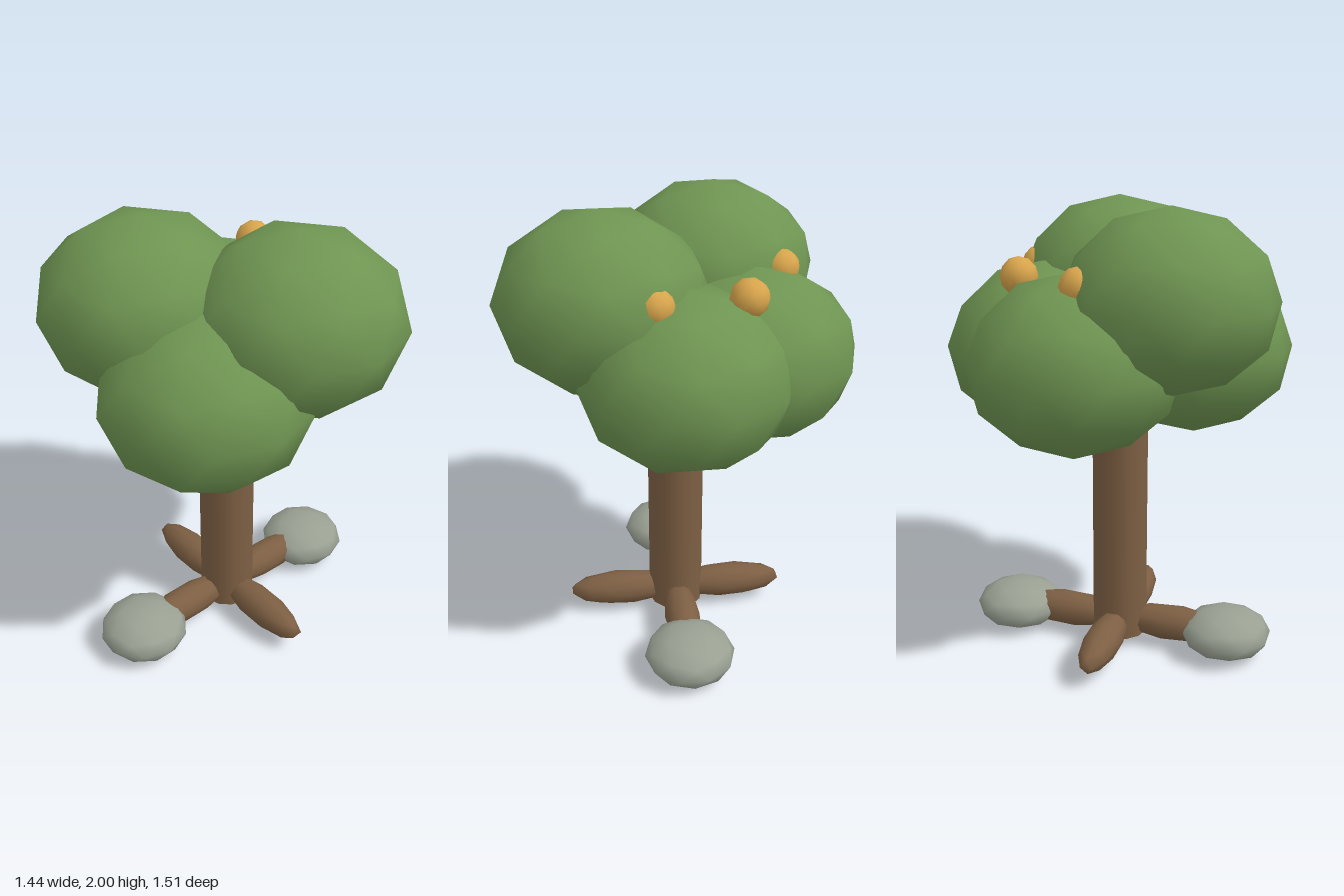
import * as THREE from 'three';

const paint = (name, color) => {
  const m = new THREE.MeshStandardMaterial({ color });
  m.name = name;
  return m;
};

export function createModel() {
  const tree = new THREE.Group();
  tree.name = 'fruitTree';
  const leaf = paint('leaf green', 0x6f9552);
  const bark = paint('bark brown', 0x7d5f43);
  const stone = paint('stone grey', 0x9aa193);
  const gold = paint('fruit gold', 0xd8a54c);
  const trunkX = -0.027;

  // Smooth low-poly ball with a corner pointing straight up
  const ball = new THREE.IcosahedronGeometry(1, 1);
  ball.rotateX(-Math.atan((1 + Math.sqrt(5)) / 2));
  ball.rotateY(Math.PI / 2);

  // Places a stretched ball on a ring around the trunk
  const blob = (name, material, angle, distance, y, size, turn = 0) => {
    const mesh = new THREE.Mesh(ball, material);
    mesh.name = name;
    mesh.position.set(trunkX + distance * Math.cos(angle), y, distance * Math.sin(angle));
    mesh.scale.set(...size);
    mesh.rotation.y = turn;
    tree.add(mesh);
  };

  // Trunk
  const trunk = new THREE.Mesh(new THREE.CylinderGeometry(0.125, 0.125, 1.35, 12), bark);
  trunk.name = 'trunk';
  trunk.position.set(trunkX, 0.05 + 1.35 / 2, 0);
  tree.add(trunk);

  // Canopy: five clumps at two heights
  [1.37, 1.625, 1.37, 1.625, 1.37].forEach((y, i) => {
    blob('leafClump', leaf, (i * Math.PI * 2) / 5, 0.325, y, [0.445, 0.375, 0.445]);
  });

  // Four roots in a cross
  for (let i = 0; i < 4; i++) {
    const angle = (i * Math.PI) / 2;
    blob('root', bark, angle, 0.25, 0.11, [0.26, 0.081, 0.081], -angle);
  }

  // Rocks at the ends of the side roots
  for (const angle of [0, Math.PI]) {
    blob('rock', stone, angle, 0.5, 0.107, [0.2, 0.107, 0.2]);
  }

  // Fruit peeking out between the clumps
  for (const angle of [-1.49, -0.59, 0.305]) {
    blob('fruit', gold, angle, 0.432, 1.708, [0.08, 0.08, 0.08]);
  }

  return tree;
}
